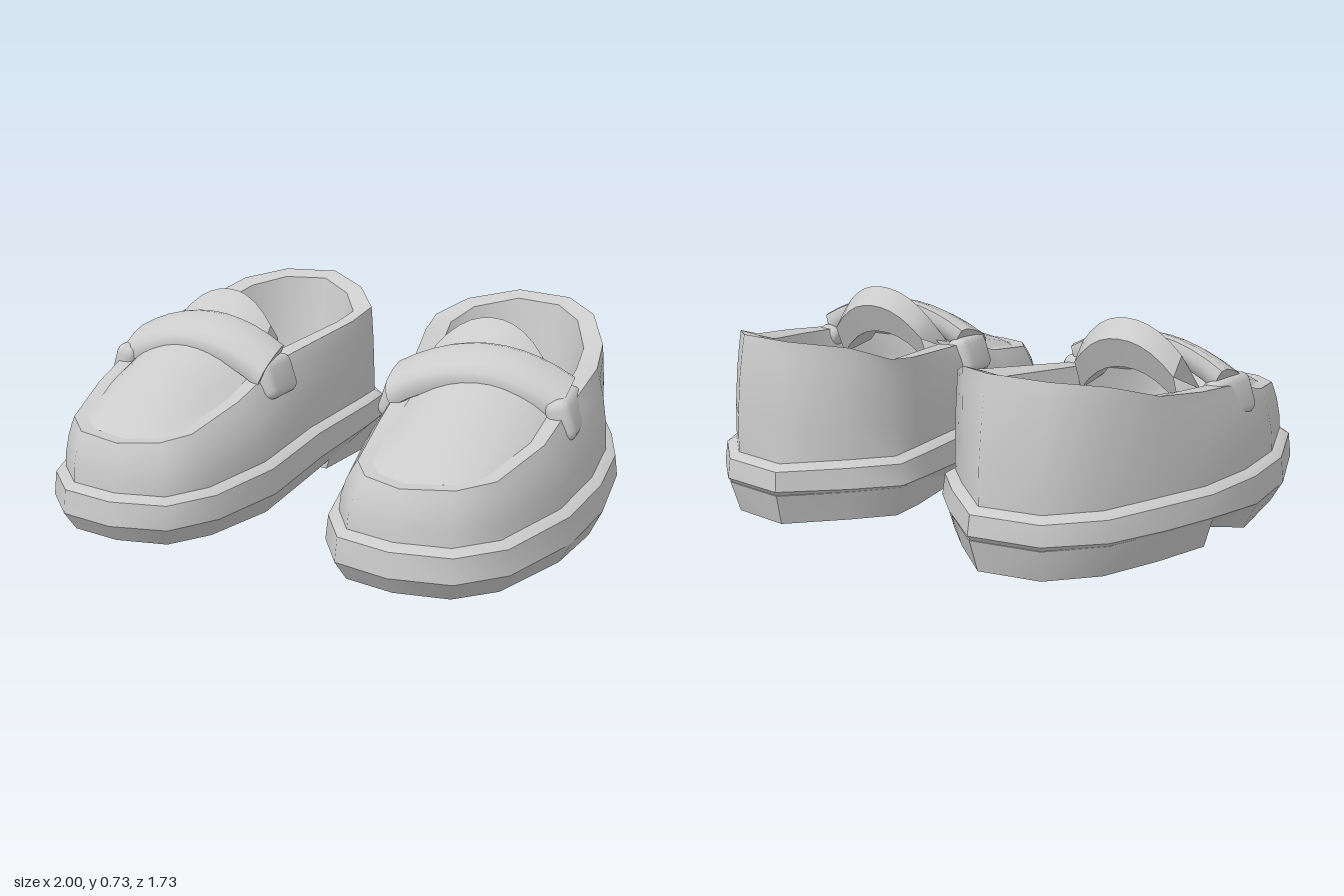
import * as THREE from 'three';
import { toCreasedNormals } from 'three/addons/utils/BufferGeometryUtils.js';
import { RoundedBoxGeometry } from 'three/addons/geometries/RoundedBoxGeometry.js';

const V = (x, y, z) => new THREE.Vector3(x, y, z);
const { lerp, clamp, mapLinear } = THREE.MathUtils;

// Columns around one shoe, from the toe along the inner side to the heel and back:
// sole x, z, then rim x, y, z and the width of the rim band
const COLUMNS = [
  [0.52, 0.862, 0.525, 0.365, 0.78, 0.05],
  [0.315, 0.815, 0.385, 0.37, 0.73, 0.05],
  [0.205, 0.65, 0.315, 0.38, 0.63, 0.05],
  [0.135, 0.35, 0.275, 0.425, 0.36, 0.05],
  [0.13, -0.03, 0.25, 0.51, 0.03, 0.07],
  [0.085, -0.4, 0.155, 0.56, -0.38, 0.08],
  [0.085, -0.55, 0.14, 0.585, -0.53, 0.075],
  [0.21, -0.69, 0.235, 0.635, -0.64, 0.065],
  [0.40, -0.865, 0.41, 0.66, -0.765, 0.065],
  [0.65, -0.83, 0.625, 0.655, -0.74, 0.065],
  [0.81, -0.67, 0.76, 0.63, -0.61, 0.065],
  [0.905, -0.45, 0.85, 0.57, -0.42, 0.07],
  [0.975, -0.24, 0.89, 0.54, -0.2, 0.075],
  [1.0, 0.05, 0.89, 0.51, 0.03, 0.06],
  [0.975, 0.35, 0.87, 0.425, 0.36, 0.05],
  [0.87, 0.68, 0.80, 0.38, 0.63, 0.05],
  [0.73, 0.825, 0.70, 0.37, 0.735, 0.05],
];
const N = COLUMNS.length;
const SOLE = COLUMNS.map(([x, z]) => V(x, 0, z));
const RIM = COLUMNS.map(([, , x, y, z]) => V(x, y, z));
const BAND = COLUMNS.map(c => c[5]);

// Moves a closed ring inwards in plan by a number or one width per point; y may be a rule of z
function inset(ring, d, y) {
  const n = ring.length;
  return ring.map((p, i) => {
    const t = ring[(i + 1) % n].clone().sub(ring[(i + n - 1) % n]).setY(0).normalize();
    const w = d[i] ?? d;
    const q = V(p.x - t.z * w, p.y, p.z + t.x * w);
    if (y) q.y = y(q.z);
    return q;
  });
}
// Inner edge of the rim, a little lower towards the high back
const LIP = inset(RIM, BAND).map(p => V(p.x, p.y - clamp(-p.z * 0.04, 0, 0.02), p.z));

// Skin over rows of points; closed rings may be capped at both ends
function skin(rows, closed = false, capStart = false, capEnd = false) {
  const pos = [];
  const tri = (a, b, c) => {
    const area = b.clone().sub(a).cross(c.clone().sub(a)).length();
    if (area > 1e-7) for (const p of [a, b, c]) pos.push(p.x, p.y, p.z);
  };
  const n = rows[0].length;
  for (let r = 0; r < rows.length - 1; r++) {
    for (let i = 0; i < (closed ? n : n - 1); i++) {
      const j = (i + 1) % n, a = rows[r], b = rows[r + 1];
      tri(a[i], b[i], b[j]);
      tri(a[i], b[j], a[j]);
    }
  }
  const cap = (ring, up) => {
    for (let i = 0; i < n / 2 - 1; i++) {
      const [a, b, c, d] = [ring[i], ring[i + 1], ring[n - i - 1], ring[(n - i) % n]];
      if (up) { tri(a, c, b); tri(a, d, c); } else { tri(a, b, c); tri(a, c, d); }
    }
  };
  if (capStart) cap(rows[0], false);
  if (capEnd) cap(rows[rows.length - 1], true);
  const g = new THREE.BufferGeometry();
  g.setAttribute('position', new THREE.Float32BufferAttribute(pos, 3));
  return g;
}

// Heights along the shoe
const soleBottom = z => z > 0.05 ? mapLinear(z, 0.05, 0.82, 0, 0.02)
  : mapLinear(Math.max(z, -0.23), -0.23, 0.05, 0.085, 0);
const weltLow = z => z > 0.1 ? 0.088 : z > -0.23 ? mapLinear(z, -0.23, 0.1, 0.13, 0.09)
  : mapLinear(z, -0.86, -0.23, 0.145, 0.13);
const weltTop = z => mapLinear(clamp(z, -0.4, 0.5), -0.4, 0.5, 0.215, 0.175);

const outsoleGeometry = () =>
  skin([inset(SOLE, 0.045, soleBottom), inset(SOLE, 0, weltLow)], true, true);

const weltGeometry = () => skin([
  inset(SOLE, 0, weltLow),
  inset(SOLE, 0.01, weltTop),
  inset(SOLE, 0.045, z => weltTop(z) + 0.02),
  inset(SOLE, 0.1, z => weltTop(z) + 0.02),
], true, false, true);

// Heel block tapering from the welt to the ground, with a slanting front
function heelGeometry() {
  const ring = (d, y) => [...inset(SOLE, d).slice(5, 13), V(0.12 + d, 0, -0.14)].map(p => V(p.x, y, p.z));
  return skin([ring(0.042, 0.015), ring(0.008, 0.128)], true, true, true);
}

// Outer wall of the upper, bulging out towards the sole
function upperGeometry() {
  const base = inset(SOLE, 0.045, z => weltTop(z) + 0.005);
  return skin([0, 0.35, 0.65, 0.87, 1].map(t => base.map((p, i) => {
    const k = t ** 2.1, q = RIM[i];
    return V(lerp(p.x, q.x, k), lerp(p.y, q.y, t), lerp(p.z, q.z, k));
  })), true);
}

// Inner wall sloping down to a closed floor
function liningGeometry() {
  const floor = inset(RIM, 0.135, () => 0.27);
  return skin([LIP, LIP.map((p, i) => p.clone().lerp(floor[i], 0.5)), floor], true, false, true);
}

// Domed panel over the toes, spanning the rim from side to side
function vampGeometry() {
  const steps = 10;
  const crown = [0, 0.012, 0.04, 0.095, 0.11];
  return skin(crown.map((rise, j) => Array.from({ length: steps + 1 }, (_, i) => {
    const u = i / steps;
    if (j === 0) {
      return u < 0.5 ? LIP[N - 1].clone().lerp(LIP[0], u * 2) : LIP[0].clone().lerp(LIP[1], u * 2 - 1);
    }
    const p = LIP[N - j].clone().lerp(LIP[j], u);
    p.y += rise * Math.sin(Math.PI * u) ** 0.8;
    return p;
  })));
}

// Thick arched flap rising backwards from under the strap
function tongueGeometry() {
  const section = [[0.725, -0.06], [0.66, -0.12], [0.55, -0.07], [0.57, 0.1]];
  return skin(Array.from({ length: 11 }, (_, i) => {
    const s = i / 5 - 1, drop = 0.115 * Math.abs(s) ** 2.2;
    return section.map(([y, z]) => V(0.535 + 0.2 * s, y - drop, z + 0.035 * s * s - 0.008 * s));
  }), true, true, true);
}

// Padded strap: a tilted oval section swept over the instep
function strapGeometry() {
  const rows = [];
  for (let i = 0; i <= 10; i++) {
    const t = i / 5 - 1;
    const c = V(0.555 + 0.3 * t, 0.597 - 0.095 * t * t, 0.12 - 0.025 * t);
    rows.push(Array.from({ length: 12 }, (_, k) => {
      const a = k / 12 * Math.PI * 2, co = Math.cos(a), si = Math.sin(a);
      const h = 0.048 * Math.sign(co) * Math.abs(co) ** 0.7;
      const w = -0.095 * Math.sign(si) * Math.abs(si) ** 0.7;
      return V(c.x + h * 0.44 * t, c.y + h - w * 0.36, c.z + w);
    }));
  }
  return skin(rows, true, true, true);
}

// Rounded strap end leaning against the side of the upper
const knot = (x, y, z, length, tilt) =>
  new RoundedBoxGeometry(0.09, 0.15, length, 2, 0.035).rotateZ(tilt).rotateY(0.08).translate(x, y, z);

function insoleGeometry() {
  const pts = [[0.30, -0.155], [0.235, -0.45], [0.30, -0.58], [0.40, -0.625], [0.58, -0.59],
    [0.67, -0.45], [0.74, -0.2]];
  const s = new THREE.Shape(pts.map(([x, z]) => new THREE.Vector2(x, z)));
  return new THREE.ExtrudeGeometry(s, { depth: 0.015, bevelEnabled: false }).rotateX(Math.PI / 2).translate(0, 0.283, 0);
}

// Reflects geometry in x when side is -1, keeping faces outward
function sided(geometry, side, crease) {
  const g = geometry.index ? geometry.toNonIndexed() : geometry;
  if (side < 0) {
    const p = g.attributes.position, a = V(), b = V();
    g.scale(-1, 1, 1);
    for (let i = 0; i < p.count; i += 3) {
      a.fromBufferAttribute(p, i + 1);
      b.fromBufferAttribute(p, i + 2);
      p.setXYZ(i + 1, b.x, b.y, b.z);
      p.setXYZ(i + 2, a.x, a.y, a.z);
    }
  }
  return toCreasedNormals(g, crease);
}

export function createModel() {
  const model = new THREE.Group();
  model.name = 'pairOfLoafers';
  const material = new THREE.MeshStandardMaterial({ color: 0xcccccc, side: THREE.DoubleSide });
  for (const side of [1, -1]) {
    const shoe = new THREE.Group();
    shoe.name = side > 0 ? 'leftShoe' : 'rightShoe';
    const add = (name, geometry, crease = 0.8) => {
      const mesh = new THREE.Mesh(sided(geometry, side, crease), material);
      mesh.name = name;
      shoe.add(mesh);
    };
    add('outsole', outsoleGeometry());
    add('welt', weltGeometry());
    add('heel', heelGeometry());
    add('upper', upperGeometry(), 1.2);
    add('rim', skin([RIM, LIP], true));
    add('lining', liningGeometry(), 1.1);
    add('insole', insoleGeometry());
    add('vamp', vampGeometry());
    add('tongue', tongueGeometry());
    add('strap', strapGeometry());
    add('outerKnot', knot(0.862, 0.452, 0.085, 0.24, 0.32));
    add('innerKnot', knot(0.252, 0.457, 0.125, 0.19, -0.32));
    model.add(shoe);
  }
  return model;
}
